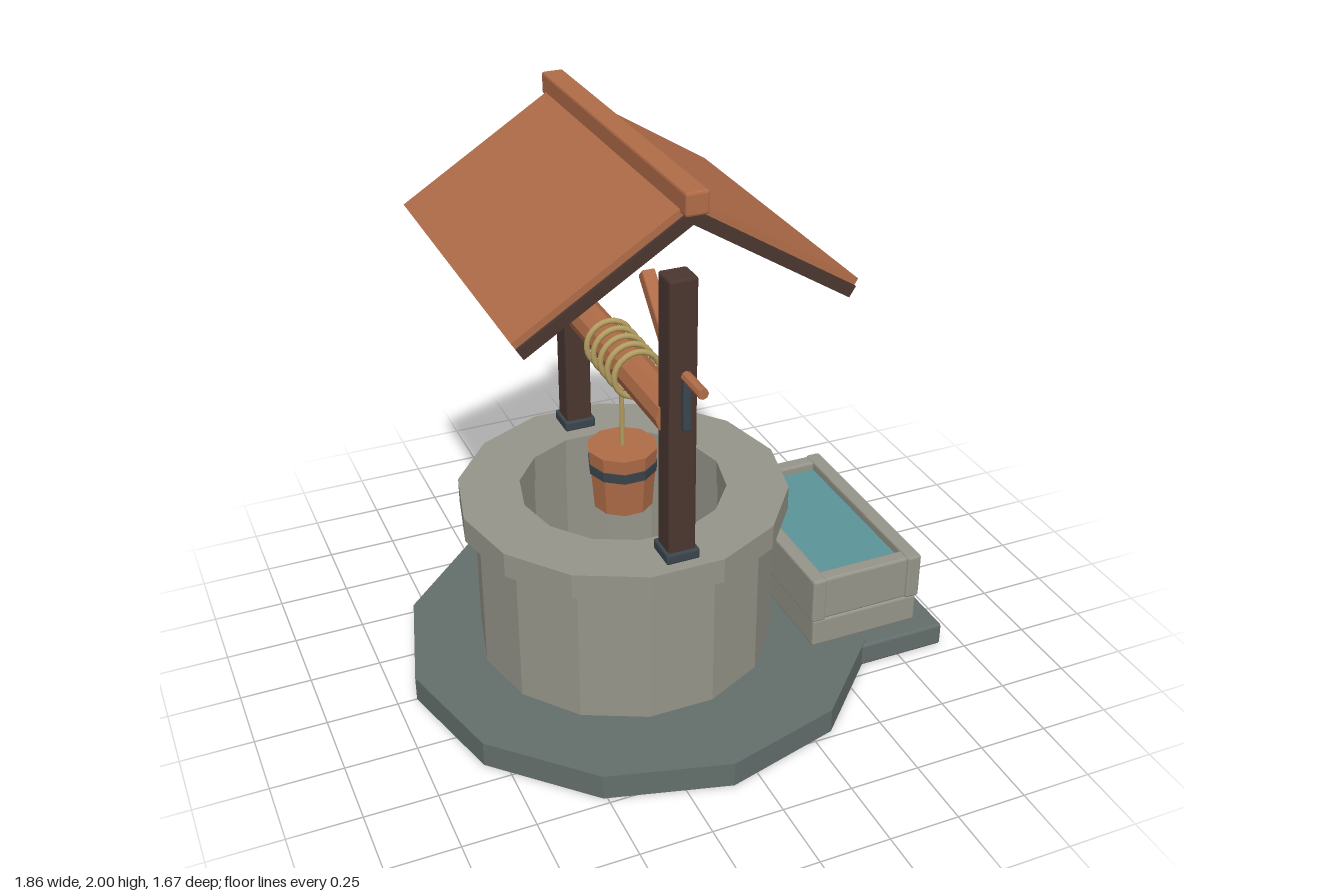
import * as THREE from 'three';
import { RoundedBoxGeometry } from 'three/addons/geometries/RoundedBoxGeometry.js';

const material = (name, color) => {
  const m = new THREE.MeshStandardMaterial({ color });
  m.name = name;
  return m;
};

// Faceted copy of a geometry
function flat(geo) {
  const g = geo.index ? geo.toNonIndexed() : geo;
  g.computeVertexNormals();
  return g;
}

export function createModel() {
  const slate = material('slate', 0x636e6b);
  const stone = material('stone', 0x96958a);
  const wood = material('warm wood', 0xb06c48);
  const darkWood = material('dark wood', 0x4b3630);
  const iron = material('iron', 0x3b454d);
  const rope = material('rope', 0xb39d60);
  const water = material('water', 0x5b9499);

  const model = new THREE.Group();
  model.name = 'well';
  const CX = -0.143; // axis of the well shaft

  const add = (name, geo, mat, x = 0, y = 0, z = 0, parent = model) => {
    const mesh = new THREE.Mesh(geo, mat);
    mesh.name = name;
    mesh.position.set(x, y, z);
    parent.add(mesh);
    return mesh;
  };
  // Box with narrow chamfered edges
  const block = (w, h, d, bevel = 0.008) => flat(new RoundedBoxGeometry(w, h, d, 1, bevel));
  // Faceted cylinder with a corner on the x axis
  const drum = (rTop, rBottom, h, sides) =>
    flat(new THREE.CylinderGeometry(rTop, rBottom, h, sides).rotateY(Math.PI / 2));
  // Faceted stone ring with a rectangular section
  const ring = (rOut, rIn, y0, y1) => flat(new THREE.LatheGeometry(
    [[rOut, y0], [rOut, y1], [rIn, y1], [rIn, y0], [rOut, y0]].map(([x, y]) => new THREE.Vector2(x, y)),
    14, Math.PI / 2));

  // Paving
  add('basePaving', drum(0.836, 0.836, 0.092, 12), slate, -0.095, 0.046, 0);
  add('troughPaving', block(0.5, 0.086, 0.905), slate, 0.674, 0.045, 0);

  // Shaft
  add('shaftWall', ring(0.525, 0.365, 0.09, 0.61), stone, CX);
  add('shaftRim', ring(0.575, 0.36, 0.61, 0.7), stone, CX);
  add('shaftWater', drum(0.366, 0.366, 0.02, 14), water, CX, 0.2, 0);

  // Trough: plinth, two long walls, two end walls, water
  const trough = new THREE.Group();
  trough.name = 'trough';
  trough.position.x = 0.634;
  model.add(trough);
  add('troughFloor', block(0.42, 0.11, 0.775), stone, 0, 0.147, 0, trough);
  for (const s of [-1, 1]) {
    add('troughLongWall', block(0.055, 0.174, 0.785), stone, s * 0.19, 0.287, 0, trough);
    add('troughEndWall', block(0.335, 0.17, 0.055), stone, 0, 0.287, s * 0.359, trough);
  }
  add('troughWater', new THREE.BoxGeometry(0.33, 0.14, 0.68), water, 0, 0.27, 0, trough);

  // Posts with iron shoes and diagonal braces, front and back
  for (const s of [-1, 1]) {
    add('post', block(0.095, 0.99, 0.092), darkWood, CX, 1.197, s * 0.464);
    add('postShoe', block(0.116, 0.037, 0.114, 0.006), iron, CX, 0.717, s * 0.464);
    const brace = add('brace', block(0.045, 0.31, 0.045, 0.006), wood, CX, 1.487, s * 0.33);
    brace.rotation.x = -s * Math.PI / 4;
  }

  // Roof: boards over a dark underlay, both mitred at the ridge
  const pitch = 0.557, halfSpan = 0.556, apex = 1.962;
  const chevron = (t0, t1, depth) => {
    const sin = Math.sin(pitch), cos = Math.cos(pitch);
    const eave = (t) => [halfSpan - t * sin, apex - halfSpan * Math.tan(pitch) - t * cos];
    const top = eave(t0), low = eave(t1);
    const shape = new THREE.Shape([
      [0, apex - t0 / cos], [-top[0], top[1]], [-low[0], low[1]],
      [0, apex - t1 / cos], low, top,
    ].map(([x, y]) => new THREE.Vector2(x, y)));
    return flat(new THREE.ExtrudeGeometry(shape, { depth, bevelEnabled: false }).translate(0, 0, -depth / 2));
  };
  add('roofBoards', chevron(0, 0.023, 1.12), wood, CX);
  add('roofUnderlay', chevron(0.023, 0.063, 1.14), darkWood, CX);
  add('ridgeCap', block(0.076, 0.075, 1.2), wood, CX, 1.962, 0);

  // Windlass roller, rope coils and crank
  const axleY = 1.196;
  add('roller', drum(0.064, 0.064, 0.88, 10).rotateX(Math.PI / 2), wood, CX, axleY, 0);
  for (let i = -2; i <= 2; i++) {
    add('ropeCoil', new THREE.TorusGeometry(0.081, 0.0105, 8, 24), rope, CX, axleY, 0.016 + i * 0.062);
  }
  add('crankArm', block(0.028, 0.185, 0.024, 0.005), iron, CX, 1.287, 0.53);
  add('crankAxle', drum(0.012, 0.012, 0.04, 8).rotateX(Math.PI / 2), iron, CX, 1.21, 0.51);
  add('crankHandle', drum(0.018, 0.018, 0.125, 8).rotateX(Math.PI / 2), wood, CX, 1.38, 0.59);

  // Hanging rope and bucket
  add('hangingRope', new THREE.CylinderGeometry(0.009, 0.009, 0.3, 8), rope, CX, 0.99, 0);
  add('bucket', drum(0.123, 0.105, 0.225, 10), wood, CX, 0.7425, 0);
  add('bucketHoop', drum(0.123, 0.12, 0.037, 10), iron, CX, 0.785, 0);

  return model;
}
